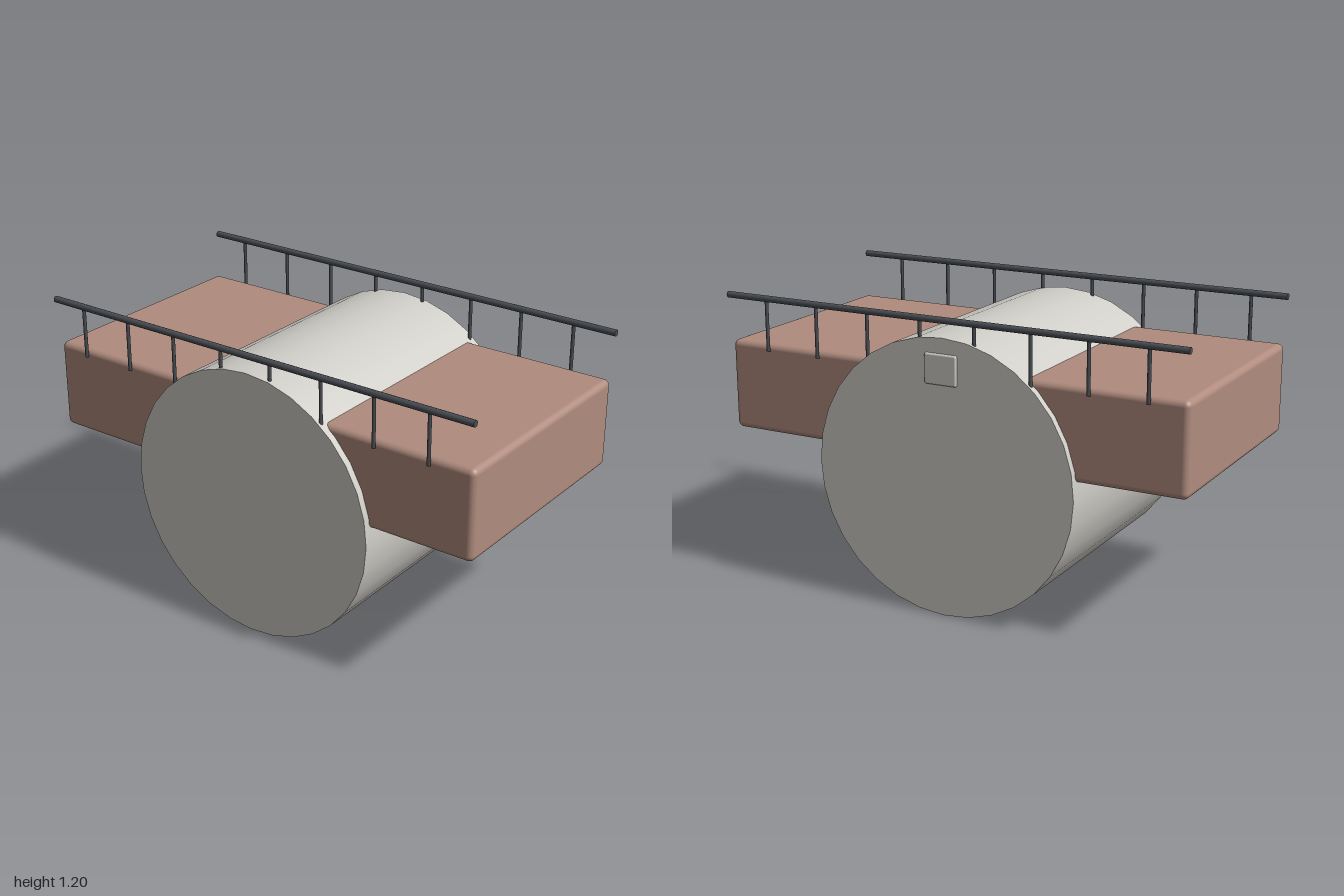
import * as THREE from 'three';
import { RoundedBoxGeometry } from 'three/addons/geometries/RoundedBoxGeometry.js';

const paint = (color) => new THREE.MeshStandardMaterial({ color });

export function createModel() {
  const model = new THREE.Group();
  const shell = paint(0xd0cec8);
  const clay = paint(0xb08c7e);
  const steel = paint(0x4a4f55);
  const midZ = 0.005;

  const add = (parent, name, geometry, material, x, y, z) => {
    const mesh = new THREE.Mesh(geometry, material);
    mesh.name = name;
    mesh.position.set(x, y, z);
    parent.add(mesh);
    return mesh;
  };

  // Large drum lying along z
  const drum = new THREE.CylinderGeometry(0.5625, 0.5625, 1.06, 32).rotateX(Math.PI / 2);
  add(model, 'drum', drum, shell, 0, 0.5625, midZ);

  // Wide rounded block passing through the drum
  add(model, 'crossBlock', new RoundedBoxGeometry(2, 0.372, 1, 4, 0.025), clay, 0, 0.814, midZ);

  // Small plate on the back of the drum
  add(model, 'backPlate', new RoundedBoxGeometry(0.14, 0.122, 0.02, 3, 0.008), shell, 0, 1.002, -0.525);

  // Front and back railings: a long bar on eight posts
  const bar = new THREE.CylinderGeometry(0.0135, 0.0135, 2, 12).rotateZ(Math.PI / 2);
  const post = new THREE.CylinderGeometry(0.0075, 0.0075, 0.215, 10);
  for (const side of [1, -1]) {
    const railing = new THREE.Group();
    railing.name = side > 0 ? 'frontRailing' : 'backRailing';
    railing.position.z = midZ + side * 0.511;
    add(railing, 'handrail', bar, steel, 0, 1.188, 0);
    for (let i = 0; i < 8; i++) {
      add(railing, 'post', post, steel, -0.845 + i * 0.237, 1.0805, 0);
    }
    model.add(railing);
  }

  return model;
}
